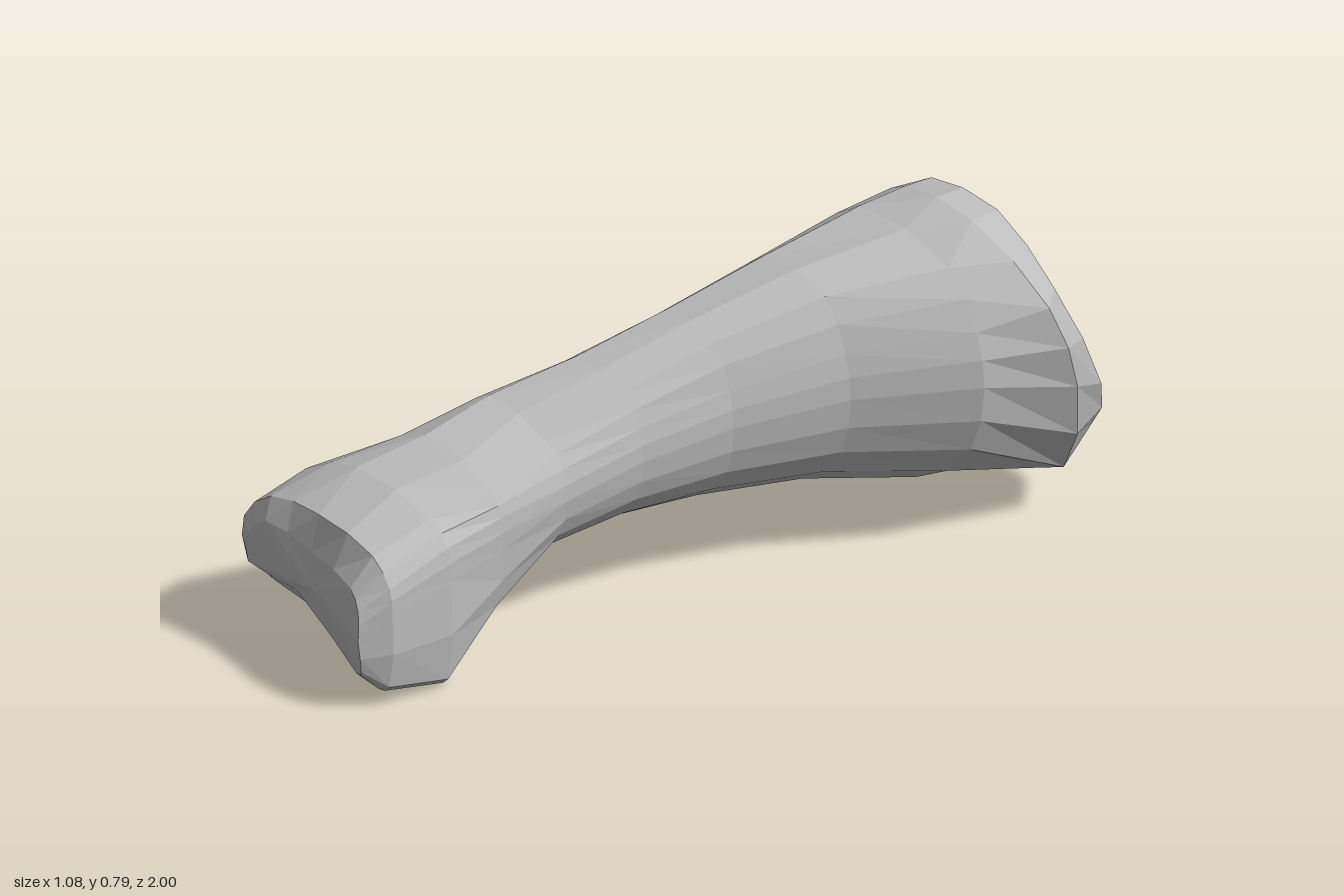
import * as THREE from 'three';

const bone = new THREE.MeshStandardMaterial({ color: 0xbcbcbc, flatShading: true });
bone.name = 'boneGrey';

const SIDES = 20;

// Round a closed ring of ten corners into twenty
function rounded(corners) {
  const curve = new THREE.CatmullRomCurve3(corners.map((p) => new THREE.Vector3(...p)), true);
  return curve.getPoints(SIDES).slice(0, SIDES).map((p) => p.toArray());
}

// Ring from [x, y] pairs lying in a plane that leans along x
const leaningRing = (z, lean, pts) => pts.map(([x, y]) => [x, y, z + lean * (x + 0.05)]);

// Shaft section: a ten-sided outline stretched to a bounding box, with a set shoulder height
const shaftRing = ([z, left, right, bottom, top, shoulder]) =>
  [[1, .5], [.96, .71], [.82, shoulder], [.38, 1], [.17, .81],
    [0, .53], [.04, .26], [.24, .08], [.66, 0], [.93, .22]]
    .map(([u, v]) => [left + u * (right - left), bottom + v * (top - bottom), z]);

// Skin a run of rings going from front to back, with optional fan caps
function loft(name, corners, frontCentre, backCentre) {
  const rings = corners.map(rounded);
  const pos = [];
  const tri = (...points) => points.forEach((p) => pos.push(...p));
  for (let j = 0; j < SIDES; j++) {
    const k = (j + 1) % SIDES;
    for (let i = 0; i < rings.length - 1; i++) {
      const a = rings[i][j], b = rings[i][k], c = rings[i + 1][k], d = rings[i + 1][j];
      tri(a, d, b);
      tri(b, d, c);
    }
    const first = rings[0], last = rings[rings.length - 1];
    if (frontCentre) tri(frontCentre, first[j], first[k]);
    if (backCentre) tri(backCentre, last[k], last[j]);
  }
  const geo = new THREE.BufferGeometry();
  geo.setAttribute('position', new THREE.Float32BufferAttribute(pos, 3));
  geo.computeVertexNormals();
  const mesh = new THREE.Mesh(geo, bone);
  mesh.name = name;
  return mesh;
}

export function createModel() {
  // Front head: wide knuckle with a low lobe on its left side
  const front = [
    [[-.03, .19, .995], [-.04, .26, .985], [-.08, .3, .97], [-.25, .31, .925], [-.4, .33, .92],
      [-.46, .27, .915], [-.46, .2, .915], [-.3, .19, .92], [-.06, .09, .97], [-.03, .11, .985]],
    leaningRing(.92, .1, [[.01, .25], [0, .31], [-.06, .37], [-.25, .395], [-.42, .37],
      [-.515, .28], [-.505, .18], [-.27, .15], [-.04, .04], [0, .06]]),
    leaningRing(.76, 0, [[.03, .28], [.02, .36], [-.04, .41], [-.27, .455], [-.43, .39],
      [-.54, .25], [-.5, .15], [-.27, .12], [-.02, .005], [.02, .025]]),
    leaningRing(.6, 0, [[.035, .3], [.03, .38], [0, .43], [-.21, .5], [-.37, .4],
      [-.46, .28], [-.42, .16], [-.25, .145], [-.06, .12], [.015, .15]]),
  ];

  // Shaft stations: z, left edge, right edge, bottom, top, shoulder
  const shaft = [
    [.42, -.34, .06, .19, .54, .86],
    [.22, -.245, .1, .215, .59, .91],
    [0, -.19, .165, .21, .645, .95],
    [-.25, -.165, .285, .19, .71, .95],
    [-.5, -.18, .46, .14, .765, .92],
  ].map(shaftRing);

  // Back head: flared rim around a hollow socket, with a lobe at the lower right
  const back = [
    [[.535, .4, -.72], [.515, .62, -.65], [.31, .78, -.61], [.09, .78, -.62], [-.05, .67, -.68],
      [-.2, .47, -.78], [-.18, .19, -.77], [.02, .15, -.78], [.2, .07, -.8], [.43, .13, -.78]],
    [[.51, .36, -.82], [.48, .64, -.7], [.3, .77, -.7], [.09, .77, -.7], [-.08, .62, -.77],
      [-.17, .45, -.91], [-.13, .24, -.965], [.03, .17, -.92], [.24, .12, -.89], [.42, .2, -.88]],
    [[.46, .38, -.8], [.43, .59, -.7], [.28, .71, -.69], [.12, .71, -.7], [-.02, .59, -.78],
      [-.08, .45, -.95], [-.05, .34, -1], [.06, .25, -.955], [.23, .19, -.91], [.39, .25, -.87]],
  ];

  const group = new THREE.Group();
  group.name = 'bone';
  group.add(
    loft('frontHead', front, [-.22, .23, .945]),
    loft('shaft', [front[front.length - 1], ...shaft, back[0]]),
    loft('backHead', back, null, [.26, .44, -.7]),
  );
  return group;
}
